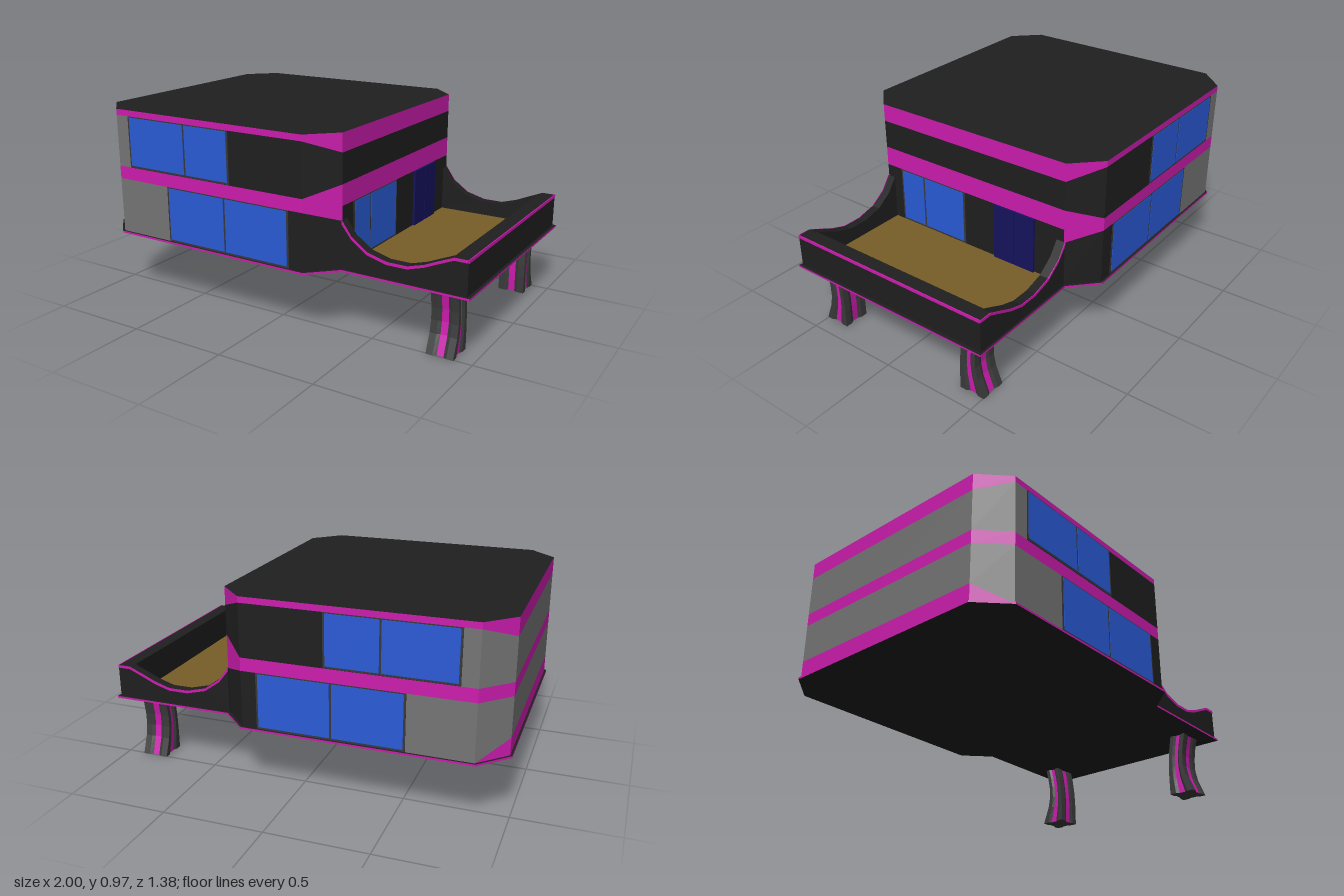
import * as THREE from 'three';

const paint = (color, side = THREE.FrontSide) =>
  new THREE.MeshStandardMaterial({ color, side, flatShading: true });
const DARK = paint(0x1f1f1f), GREY = paint(0x757575), MAGENTA = paint(0xcc1cae), FRAME = paint(0x383838),
  GLASS = paint(0x2a5bd7), NAVY = paint(0x16125e), WOOD = paint(0x785e28), STONE = paint(0x3a3a3a);

function add(parent, name, geometry, material) {
  const mesh = new THREE.Mesh(geometry, material);
  mesh.name = name;
  parent.add(mesh);
  return mesh;
}

// Box given by its two extreme corners
function box(parent, name, material, [x0, y0, z0], [x1, y1, z1]) {
  const g = new THREE.BoxGeometry(x1 - x0, y1 - y0, z1 - z0);
  g.translate((x0 + x1) / 2, (y0 + y1) / 2, (z0 + z1) / 2);
  return add(parent, name, g, material);
}

function quads(positions) {
  const g = new THREE.BufferGeometry();
  g.setAttribute('position', new THREE.Float32BufferAttribute(positions, 3));
  g.computeVertexNormals();
  return g;
}

const quad = (a, b, c, d) => [...a, ...b, ...c, ...a, ...c, ...d];
const shapeOf = pts => new THREE.Shape(pts.map(p => new THREE.Vector2(...p)));
const mirrored = half => [...half, ...half.map(([x, z]) => [x, -z]).reverse()];

// Two-storey body: stripes whose heights change at the chamfered corners
function buildBody(group) {
  const F = [0.335, 0.335, 0.615, 0.68, 0.94, 0.97];
  const L = [0.335, 0.42, 0.615, 0.68, 0.885, 0.97];
  const R = [0.335, 0.335, 0.565, 0.735, 0.88, 0.97];
  const D = [0.335, 0.335, 0.635, 0.735, 0.88, 0.97];
  // start, end, heights at both ends, lower and upper wall colour
  const walls = [
    [[-0.99, 0], [-0.99, 0.55], L, L, 'grey', 'grey'],
    [[-0.99, 0.55], [-0.86, 0.68], L, F, 'grey', 'grey'],
    [[-0.86, 0.68], [-0.785, 0.68], F, F, 'grey', 'grey'],
    [[-0.785, 0.68], [-0.55, 0.68], F, F, 'grey', 'dark'],
    [[-0.55, 0.68], [0.24, 0.68], F, F, 'dark', 'dark'],
    [[0.24, 0.68], [0.37, 0.55], F, R, 'dark', 'dark'],
    [[0.37, 0.55], [0.37, 0], D, D, 'dark', 'dark'],
  ];
  const faces = { grey: [], dark: [], magenta: [] };
  for (const [p, q, hp, hq, lower, upper] of walls) {
    ['magenta', lower, 'magenta', upper, 'magenta'].forEach((color, i) => {
      if (hp[i] === hp[i + 1] && hq[i] === hq[i + 1]) return;
      for (const s of [1, -1]) {
        const c = [[p[0], hp[i], s * p[1]], [q[0], hq[i], s * q[1]],
          [q[0], hq[i + 1], s * q[1]], [p[0], hp[i + 1], s * p[1]]];
        faces[color].push(...quad(...(s > 0 ? c : c.reverse())));
      }
    });
  }
  add(group, 'greyWalls', quads(faces.grey), GREY);
  add(group, 'darkWalls', quads(faces.dark), DARK);
  add(group, 'colouredBands', quads(faces.magenta), MAGENTA);

  const outline = mirrored([[-0.99, 0.55], [-0.86, 0.68], [0.24, 0.68], [0.37, 0.55]]);
  const roof = new THREE.ShapeGeometry(shapeOf(outline));
  add(group, 'roof', roof.rotateX(-Math.PI / 2).translate(0, 0.97, 0), DARK);
}

// Floor slab under house and deck, with a coloured rim
function buildSlab(group) {
  const outline = mirrored([[-1, 0.555], [-0.865, 0.69], [0.245, 0.69], [0.375, 0.565], [1, 0.565]]);
  const g = new THREE.ExtrudeGeometry(shapeOf(outline), { depth: 0.01, bevelEnabled: false });
  add(group, 'floorSlab', g.rotateX(-Math.PI / 2).translate(0, 0.326, 0), [DARK, MAGENTA]);
}

// Framed window lying in the local xy plane, facing +z; split is the mullion position
function makeWindow(x0, x1, split, y0, y1, name = 'window') {
  const w = new THREE.Group();
  w.name = name;
  box(w, 'windowFrame', FRAME, [x0, y0, -0.01], [x1, y1, 0.002]);
  for (const [a, b] of [[x0 + 0.01, split - 0.005], [split + 0.005, x1 - 0.01]])
    box(w, 'glassPane', GLASS, [a, y0 + 0.01, -0.005], [b, y1 - 0.005, 0.004]);
  return w;
}

function buildOpenings(group) {
  for (const side of [1, -1]) {
    const panes = side > 0
      ? [[-0.785, -0.165, -0.43], [-0.55, 0.165, -0.2]]
      : [[0.165, 0.785, 0.43], [-0.165, 0.55, 0.2]];
    const holder = new THREE.Group();
    holder.name = side > 0 ? 'frontWindows' : 'backWindows';
    holder.add(makeWindow(...panes[0], 0.682, 0.94, 'upperWindow'));
    holder.add(makeWindow(...panes[1], 0.337, 0.615, 'lowerWindow'));
    holder.position.z = side * 0.68;
    if (side < 0) holder.rotation.y = Math.PI;
    group.add(holder);
  }
  // Window and double door opening on to the deck
  const deckWindow = makeWindow(-0.455, -0.035, -0.3, 0.345, 0.635, 'deckWindow');
  deckWindow.rotation.y = Math.PI / 2;
  deckWindow.position.x = 0.37;
  group.add(deckWindow);
  for (const [a, b] of [[-0.387, -0.271], [-0.267, -0.151]])
    box(group, 'doorLeaf', NAVY, [0.36, 0.34, a], [0.381, 0.635, b]);
}

// Deck with parapets swooping down from the house
function buildDeck(group) {
  const curve = [[0.37, 0.57], [0.42, 0.5], [0.5, 0.443], [0.6, 0.417], [0.7, 0.417],
    [0.78, 0.441], [0.85, 0.472], [0.92, 0.502], [0.985, 0.502]];
  const parapet = shapeOf([[0.37, 0.335], ...curve, [0.985, 0.335]].reverse());
  const lowered = curve.map(([x, y], i) => [x, y - (i === 0 ? 0.02 : 0.013)]);
  const strip = shapeOf([...lowered, ...curve.slice().reverse()]);
  for (const s of [1, -1]) {
    const wall = new THREE.ExtrudeGeometry(parapet, { depth: 0.045, bevelEnabled: false });
    add(group, 'sideParapet', wall.translate(0, 0, s > 0 ? 0.51 : -0.555), DARK);
    const trim = new THREE.ExtrudeGeometry(strip, { depth: 0.004, bevelEnabled: false });
    add(group, 'sideTrim', trim.translate(0, 0, s > 0 ? 0.554 : -0.558), [MAGENTA, MAGENTA]);
  }
  box(group, 'endParapet', DARK, [0.912, 0.335, -0.51], [0.985, 0.502, 0.51]);
  box(group, 'endTrim', MAGENTA, [0.983, 0.488, -0.555], [0.988, 0.503, 0.555]);
  box(group, 'deckFloor', WOOD, [0.37, 0.33, -0.51], [0.912, 0.343, 0.51]);
}

// Curved, grooved pillar lofted through rows of [height, centre z, half depth]
function buildPillars(group) {
  const side = [[-1, 1], [-0.5, 1], [-0.25, 0.86], [0.25, 0.86], [0.5, 1]];
  const outline = [];
  for (let k = 0; k < 4; k++)
    for (let [x, z] of side) {
      for (let j = 0; j < k; j++) [x, z] = [z, -x];
      outline.push([x, z]);
    }
  const rows = [[0, 0.438, 0.068], [0.04, 0.43, 0.06], [0.09, 0.42, 0.05], [0.15, 0.415, 0.043],
    [0.21, 0.418, 0.041], [0.27, 0.427, 0.042], [0.328, 0.44, 0.043]];
  const rings = rows.map(([y, zc, h]) => outline.map(([x, z]) => [0.845 + x * 0.067, y, zc + z * h]));
  const body = [], stripes = [];
  const n = outline.length;
  for (let r = 0; r < rings.length - 1; r++)
    for (let i = 0; i < n; i++) {
      const j = (i + 1) % n;
      (i % 5 === 2 ? stripes : body).push(...quad(rings[r][i], rings[r][j], rings[r + 1][j], rings[r + 1][i]));
    }
  // Foot
  for (let i = 0; i < n; i++) body.push(0.845, 0, 0.438, ...rings[0][(i + 1) % n], ...rings[0][i]);
  for (const turn of [0, Math.PI]) {
    const pillar = new THREE.Group();
    pillar.name = turn ? 'backPillar' : 'frontPillar';
    add(pillar, 'pillarBody', quads(body), STONE);
    add(pillar, 'pillarStripes', quads(stripes), MAGENTA);
    // Half turn about the pillar's own axis mirrors the symmetric section
    pillar.rotation.y = turn;
    if (turn) pillar.position.x = 2 * 0.845;
    group.add(pillar);
  }
}

export function createModel() {
  const house = new THREE.Group();
  house.name = 'house';
  buildBody(house);
  buildSlab(house);
  buildOpenings(house);
  buildDeck(house);
  buildPillars(house);
  return house;
}
